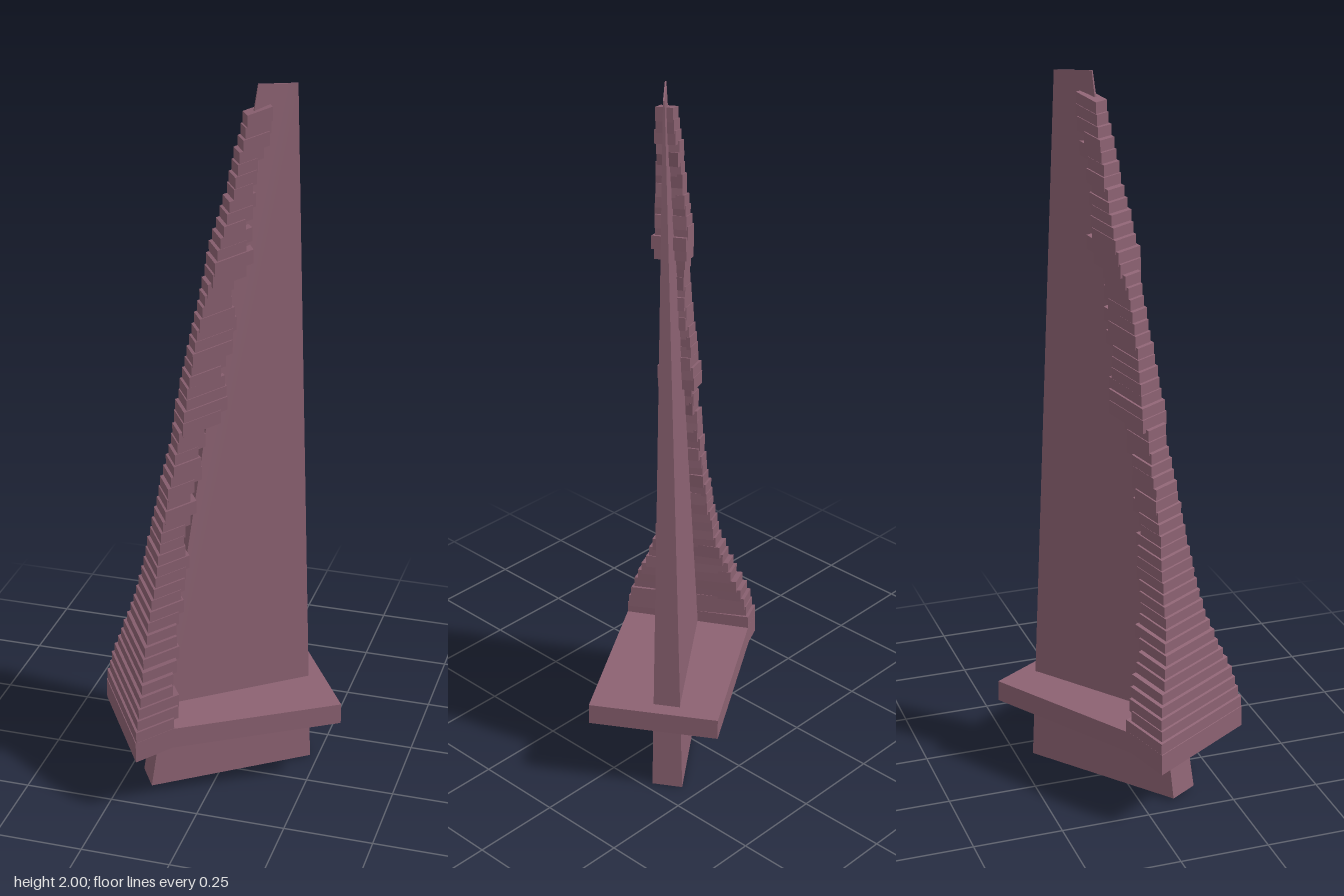
import * as THREE from 'three';

const stone = new THREE.MeshStandardMaterial({ color: 0x8c6272 });
stone.name = 'mauve stone';

// Box whose eight corners are placed by a rule: rule(left?, bottom?, back?) -> [x, y, z]
function block(name, rule) {
  const geo = new THREE.BoxGeometry(1, 1, 1);
  const p = geo.attributes.position;
  for (let i = 0; i < p.count; i++) {
    p.setXYZ(i, ...rule(p.getX(i) < 0, p.getY(i) < 0, p.getZ(i) < 0));
  }
  geo.computeVertexNormals();
  const mesh = new THREE.Mesh(geo, stone);
  mesh.name = name;
  return mesh;
}

// Linear interpolation in a list of [height, value]
function along(table, y) {
  for (let i = 1; i < table.length; i++) {
    const [y0, a] = table[i - 1], [y1, b] = table[i];
    if (y <= y1) return a + (b - a) * Math.max(0, (y - y0) / (y1 - y0));
  }
  return table[table.length - 1][1];
}

// Small seeded noise in -1..1
let seed = 7;
const noise = () => {
  seed = (seed * 16807) % 2147483647;
  return (seed / 2147483647) * 2 - 1;
};

const outerEnd = [[0.235, -0.29], [0.3, -0.28], [0.4, -0.258], [0.6, -0.212], [0.8, -0.178], [1.07, -0.122],
  [1.3, -0.082], [1.5, -0.034], [1.7, 0.02], [1.95, 0.072]];
const innerEnd = [[0.235, -0.18], [0.4, -0.165], [0.5, -0.14], [0.75, -0.11], [0.95, -0.07], [1.04, -0.055],
  [1.07, -0.005], [1.2, -0.015], [1.3, 0.02], [1.47, 0.025], [1.5, 0.07], [1.6, 0.055], [1.8, 0.105], [1.95, 0.14]];
const halfWidth = [[0.235, 0.178], [0.32, 0.16], [0.4, 0.125], [0.5, 0.092], [0.6, 0.072], [0.8, 0.052],
  [1.0, 0.038], [1.04, 0.036], [1.07, 0.048], [1.3, 0.03], [1.46, 0.03], [1.49, 0.046], [1.7, 0.034], [1.95, 0.018]];

export function createModel() {
  const root = new THREE.Group();
  root.name = 'steppedMonolith';
  const body = new THREE.Group();
  body.name = 'body';
  body.rotation.y = 0.555;
  root.add(body);

  // Tapering slab, wedge-thin at the top
  body.add(block('blade', (left, bottom, back) => {
    if (bottom) return left ? [-0.222, 0.01, back ? -0.034 : 0.058] : [0.261, 0, back ? -0.075 : 0.01];
    return left ? [0.092, 2, back ? 0.002 : 0.006] : [0.203, 1.99, back ? -0.017 : -0.013];
  }));

  // Collar plate: flat part and drooping outer end
  body.add(block('collarFlat', (left, bottom, back) =>
    [left ? -0.19 : 0.294, bottom ? 0.205 : 0.265, back ? -0.18 : 0.18]));
  body.add(block('collarEnd', (left, bottom, back) =>
    [left ? -0.294 : -0.19, (bottom ? 0.205 : 0.265) - (left ? 0.03 : 0), back ? -0.18 : 0.18]));

  // Ragged, tilted layers climbing the leaning edge
  const layers = new THREE.Group();
  layers.name = 'steppedLayers';
  body.add(layers);
  const count = 54, step = 1.69 / count;
  for (let i = 0; i < count; i++) {
    const y = 0.23 + i * step;
    const u0 = along(outerEnd, y) + noise() * 0.002;
    const u1 = along(innerEnd, y);
    const w = along(halfWidth, y);
    const ends = [u1 + noise() * 0.012, u1 + noise() * 0.012];
    const sides = [-w + noise() * 0.003, w + noise() * 0.003];
    layers.add(block('layer', (left, bottom, back) => {
      const k = back ? 0 : 1;
      const u = left ? u0 : ends[k];
      return [u, y + (bottom ? 0 : step + 0.006) + 0.28 * (u - u0), sides[k]];
    }));
  }
  return root;
}
